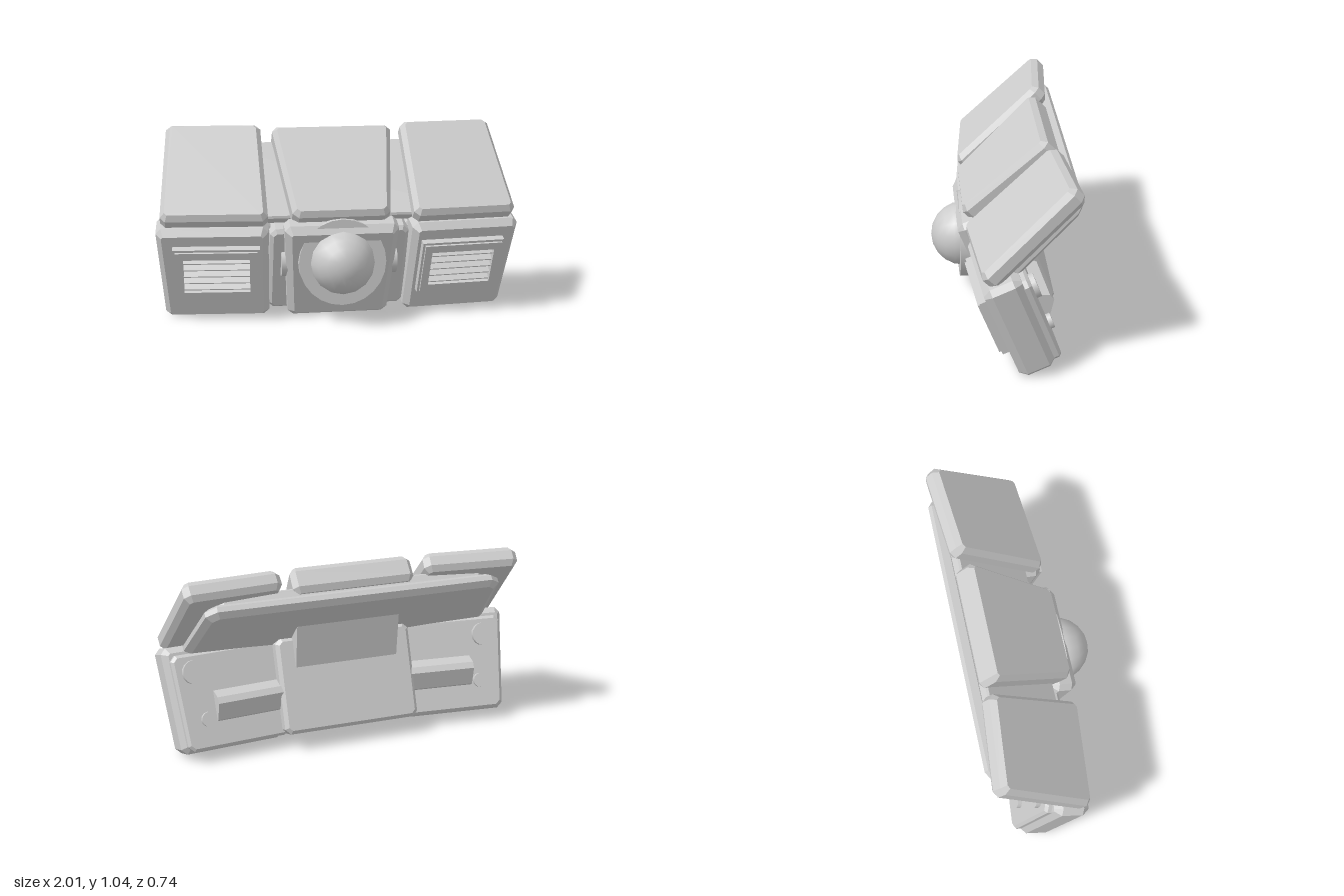
import * as THREE from 'three';

const shell = new THREE.MeshStandardMaterial({ color: 0xcccccc });
shell.name = 'pale grey shell';

const LOWER = THREE.MathUtils.degToRad(21);
const UPPER = THREE.MathUtils.degToRad(-46);
const WING_X = 0.69;
const WING_YAW = 0.09;

function add(parent, name, geometry, x = 0, y = 0, z = 0) {
  const mesh = new THREE.Mesh(geometry, shell);
  mesh.name = name;
  mesh.position.set(x, y, z);
  parent.add(mesh);
  return mesh;
}

function frame(parent, name, tilt) {
  const g = new THREE.Group();
  g.name = name;
  g.rotation.x = tilt;
  parent.add(g);
  return g;
}

// Bevelled slab: four corners, each cut by c, reaching from z0 to z1
function slab(corners, z0, z1, inset = 0.03, bevel = 0.03, c = 0.03) {
  const v = corners.map(([x, y]) => new THREE.Vector2(x, y));
  const pts = [];
  v.forEach((p, i) => {
    for (const q of [v[(i + 3) % 4], v[(i + 1) % 4]]) {
      pts.push(p.clone().add(q.clone().sub(p).setLength(c)));
    }
  });
  const geo = new THREE.ExtrudeGeometry(new THREE.Shape(pts), {
    depth: z1 - z0 - 2 * bevel, bevelEnabled: true, bevelSegments: 1,
    bevelThickness: bevel, bevelSize: inset, bevelOffset: -inset,
  });
  return geo.translate(0, 0, z0 + bevel);
}

// Symmetric trapezoid corners
const trapezoid = (bottom, top, y0, y1) => [[-bottom, y0], [bottom, y0], [top, y1], [-top, y1]];

// Prism along x from a (z, y) section
function prism(section, x0, x1) {
  const shape = new THREE.Shape(section.map(([z, y]) => new THREE.Vector2(-z, y)));
  const geo = new THREE.ExtrudeGeometry(shape, { depth: x1 - x0, bevelEnabled: false });
  return geo.rotateY(Math.PI / 2).translate(x0, 0, 0);
}

function buildCentre(root) {
  const low = frame(root, 'centreLower', LOWER);
  add(low, 'centreFrontBox', slab(trapezoid(0.28, 0.315, 0.0, 0.59), -0.12, 0.035, 0.035, 0.04));
  add(low, 'centreRearBox', slab(trapezoid(0.385, 0.385, 0.0, 0.525), -0.315, -0.06, 0.02, 0.02));
  for (const s of [-1, 1]) {
    add(low, 'sideBoss', new THREE.CylinderGeometry(0.08, 0.08, 0.05, 12).rotateZ(Math.PI / 2), s * 0.297, 0.31, -0.075);
  }

  const up = frame(root, 'centreUpper', UPPER);
  add(up, 'centrePanel', slab(trapezoid(0.265, 0.34, 0.27, 0.885), 0.45, 0.597, 0.025, 0.03));
  add(up, 'rearPanel', slab(trapezoid(0.88, 0.81, 0.37, 0.89), 0.362, 0.44, 0.035, 0.025, 0.05));
  add(up, 'rearPanelCore', slab(trapezoid(0.82, 0.76, 0.33, 0.85), 0.43, 0.49, 0.01, 0.01, 0.05));

  // Brace joining the two tilted halves at the back
  add(root, 'rearBrace', prism([[-0.2, 0.7], [-0.172, 0.45], [0, 0.5], [0, 0.62]], -0.29, 0.29));

  // Dome in its round mount
  add(root, 'domeMount', new THREE.CylinderGeometry(0.24, 0.24, 0.21, 24).rotateX(Math.PI / 2), 0, 0.345, 0.11);
  add(root, 'dome', new THREE.SphereGeometry(0.18, 16, 10).rotateX(Math.PI / 2), 0, 0.345, 0.188);
}

function buildGrille(parent, s) {
  const g = new THREE.Group();
  g.name = 'grille';
  g.position.set(-0.022 * s, 0.3, -0.027);
  parent.add(g);

  // Stepped frame with a window for the slats
  const ring = (w, h, depth) => {
    const outer = new THREE.Shape();
    outer.moveTo(-w, -h).lineTo(w, -h).lineTo(w, h).lineTo(-w, h).closePath();
    const hole = new THREE.Path();
    hole.moveTo(-0.18, -0.108).lineTo(-0.18, 0.108).lineTo(0.18, 0.108).lineTo(0.18, -0.108).closePath();
    outer.holes.push(hole);
    return new THREE.ExtrudeGeometry(outer, { depth, bevelEnabled: false });
  };
  add(g, 'grilleBase', ring(0.235, 0.165, 0.04));
  add(g, 'grilleFrame', ring(0.222, 0.152, 0.052));

  // Wedge slats sloping down to the front, with gaps between
  for (let i = 0; i < 5; i++) {
    const y = -0.1 + i * 0.043;
    add(g, 'grilleSlat', prism([[-0.01, y], [0.04, y], [0.04, y + 0.006], [-0.01, y + 0.028]], -0.18, 0.18));
  }
}

function buildWing(root, s) {
  const wing = new THREE.Group();
  wing.name = s > 0 ? 'leftWing' : 'rightWing';
  wing.position.x = WING_X * s;
  wing.rotation.y = WING_YAW * s;
  root.add(wing);
  const local = (x) => (x - WING_X) * s;
  const side = (pts) => {
    const p = pts.map(([x, y]) => [local(x), y]);
    return s > 0 ? p : p.reverse();
  };

  // Lower pod, rear tray and grille
  const low = frame(wing, 'lowerPod', LOWER);
  add(low, 'podBody', slab(side([[0.385, -0.025], [0.96, -0.025], [0.995, 0.555], [0.385, 0.555]]), -0.225, -0.025, 0.03, 0.04));
  add(low, 'podRearTray', slab(side([[0.36, -0.012], [0.935, -0.012], [0.965, 0.51], [0.36, 0.51]]), -0.262, -0.15, 0.015, 0.015));
  buildGrille(low, s);

  // Rear fin, hinge stub and peg
  const a = local(0.37), b = local(0.76);
  add(low, 'rearFin', prism([[-0.24, 0.12], [-0.275, 0.135], [-0.335, 0.225], [-0.325, 0.26], [-0.265, 0.295], [-0.24, 0.295]],
    Math.min(a, b), Math.max(a, b)));
  add(low, 'hingeStub', new THREE.CylinderGeometry(0.065, 0.065, 0.1, 16).rotateX(Math.PI / 2), local(0.85), 0.41, -0.238);
  add(low, 'rearPeg', new THREE.CylinderGeometry(0.04, 0.04, 0.06, 12).rotateX(Math.PI / 2), local(0.81), 0.15, -0.255);

  // Upper panel
  const up = frame(wing, 'upperPod', UPPER);
  add(up, 'upperPanel', slab(side([[0.385, 0.285], [0.968, 0.285], [0.95, 0.932], [0.425, 0.932]]), 0.455, 0.567, 0.025, 0.03));
}

export function createModel() {
  const root = new THREE.Group();
  root.name = 'tiltedPanelUnit';
  buildCentre(root);
  for (const s of [-1, 1]) buildWing(root, s);
  return root;
}
